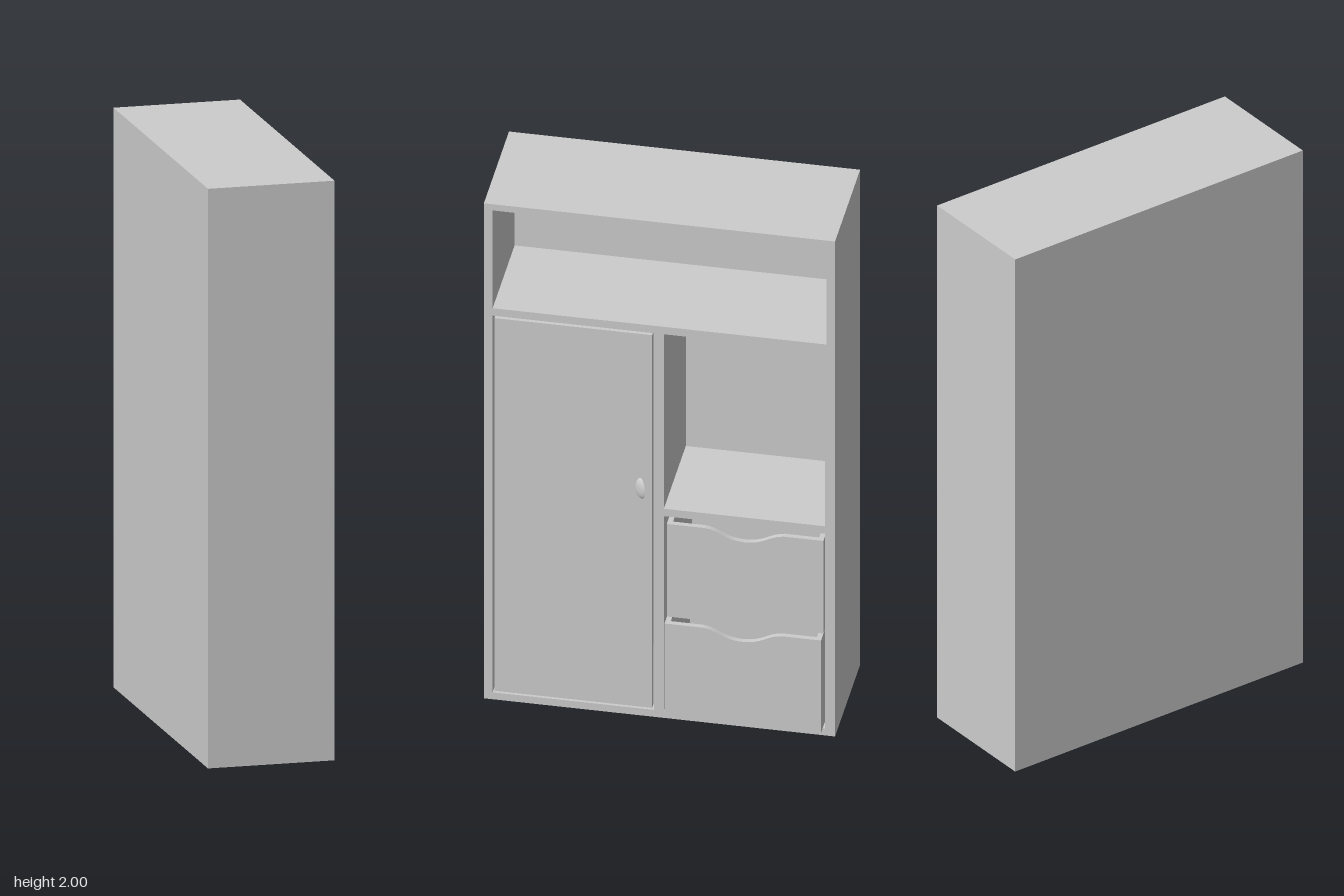
import * as THREE from 'three';

const grey = new THREE.MeshStandardMaterial({ color: 0xcccccc });
grey.name = 'paintedGrey';
const greyThin = grey.clone();
greyThin.name = 'paintedGrey';
greyThin.side = THREE.DoubleSide;

const BACK = -0.24, INNER = -0.185, FRONT = 0.2;

// Box from min/max limits
function slab(name, x0, x1, y0, y1, z0, z1) {
  const mesh = new THREE.Mesh(new THREE.BoxGeometry(x1 - x0, y1 - y0, z1 - z0), grey);
  mesh.position.set((x0 + x1) / 2, (y0 + y1) / 2, (z0 + z1) / 2);
  mesh.name = name;
  return mesh;
}

// Panel outline (u = -z, y) extruded along +x from x0 to x1
function panel(name, shape, x0, x1) {
  const geo = new THREE.ExtrudeGeometry(shape, { depth: x1 - x0, bevelEnabled: false, curveSegments: 10 });
  geo.rotateY(Math.PI / 2).translate(x0, 0, 0);
  const mesh = new THREE.Mesh(geo, grey);
  mesh.name = name;
  return mesh;
}

function rect(path, z0, z1, y0, y1) {
  path.moveTo(-z0, y0);
  path.lineTo(-z0, y1);
  path.lineTo(-z1, y1);
  path.lineTo(-z1, y0);
  path.closePath();
  return path;
}

// Open-topped drawer with a dipped finger notch in its front
function drawer(name, front, y0, y1) {
  const g = new THREE.Group();
  g.name = name;
  const z0 = -0.56, z1 = -0.025, t = 0.018, mid = 0.29, half = 0.135, dip = 0.04;
  const back = front - 0.37;
  const s = new THREE.Shape();
  s.moveTo(-z1, y0);
  s.lineTo(-z0, y0);
  s.lineTo(-z0, y1);
  s.lineTo(mid + half, y1);
  s.bezierCurveTo(mid + half * 0.6, y1 - 0.006, mid + half * 0.5, y1 - dip, mid, y1 - dip);
  s.bezierCurveTo(mid - half * 0.5, y1 - dip, mid - half * 0.6, y1 - 0.006, mid - half, y1);
  s.lineTo(-z1, y1);
  s.closePath();
  g.add(
    panel('drawerFront', s, front - t, front),
    slab('drawerSideRight', back, front - t, y0, y1, z0, z0 + t),
    slab('drawerSideLeft', back, front - t, y0, y1, z1 - t, z1),
    slab('drawerBack', back, back + t, y0, y1, z0 + t, z1 - t),
    slab('drawerBottom', back + t, front - t, y0, y0 + t, z0 + t, z1 - t)
  );
  return g;
}

// Small scooped pull, leaning towards the door's opening edge
function handle() {
  const g = new THREE.Group();
  g.name = 'doorHandle';
  const lean = (geo) => {
    const p = geo.attributes.position;
    for (let i = 0; i < p.count; i++) p.setZ(i, p.getZ(i) - 0.8 * p.getX(i));
    geo.computeVertexNormals();
    return geo;
  };
  const shell = (sx, sy, sz) =>
    lean(new THREE.SphereGeometry(1, 10, 18, Math.PI / 2, Math.PI / 2).scale(sx, sy, sz));
  const rim = new THREE.Shape();
  rim.absellipse(0, 0, 0.024, 0.04, -Math.PI / 2, Math.PI / 2, false);
  rim.absellipse(0, 0, 0.017, 0.033, Math.PI / 2, -Math.PI / 2, true);
  const parts = {
    handleOuter: shell(0.024, 0.04, 0.018),
    handleInner: shell(0.017, 0.033, 0.012),
    handleRim: lean(new THREE.ShapeGeometry(rim, 16)),
  };
  for (const [name, geo] of Object.entries(parts)) {
    const mesh = new THREE.Mesh(geo, greyThin);
    mesh.name = name;
    g.add(mesh);
  }
  g.position.set(FRONT, 0.92, 0.064);
  return g;
}

export function createModel() {
  const model = new THREE.Group();
  model.name = 'cabinet';

  // Carcass: one frame with four openings, closed by a back panel
  const frame = rect(new THREE.Shape(), -0.6, 0.6, 0, 2);
  const openings = [
    [-0.57, 0.57, 1.58, 1.975],
    [0.018, 0.57, 0.028, 1.55],
    [-0.565, -0.015, 0.845, 1.55],
    [-0.565, -0.015, 0.028, 0.815],
  ];
  for (const o of openings) frame.holes.push(rect(new THREE.Path(), ...o));
  model.add(panel('carcass', frame, INNER, FRONT));
  model.add(slab('backPanel', BACK, INNER, 0, 2, -0.6, 0.6));

  // Door and its pull
  model.add(slab('door', FRONT - 0.02, FRONT, 0.035, 1.541, 0.025, 0.564));
  model.add(handle());

  // Closed upper drawer, lower drawer slightly pulled out
  model.add(drawer('upperDrawer', FRONT, 0.411, 0.785));
  model.add(drawer('lowerDrawer', FRONT + 0.04, 0.036, 0.409));

  return model;
}
